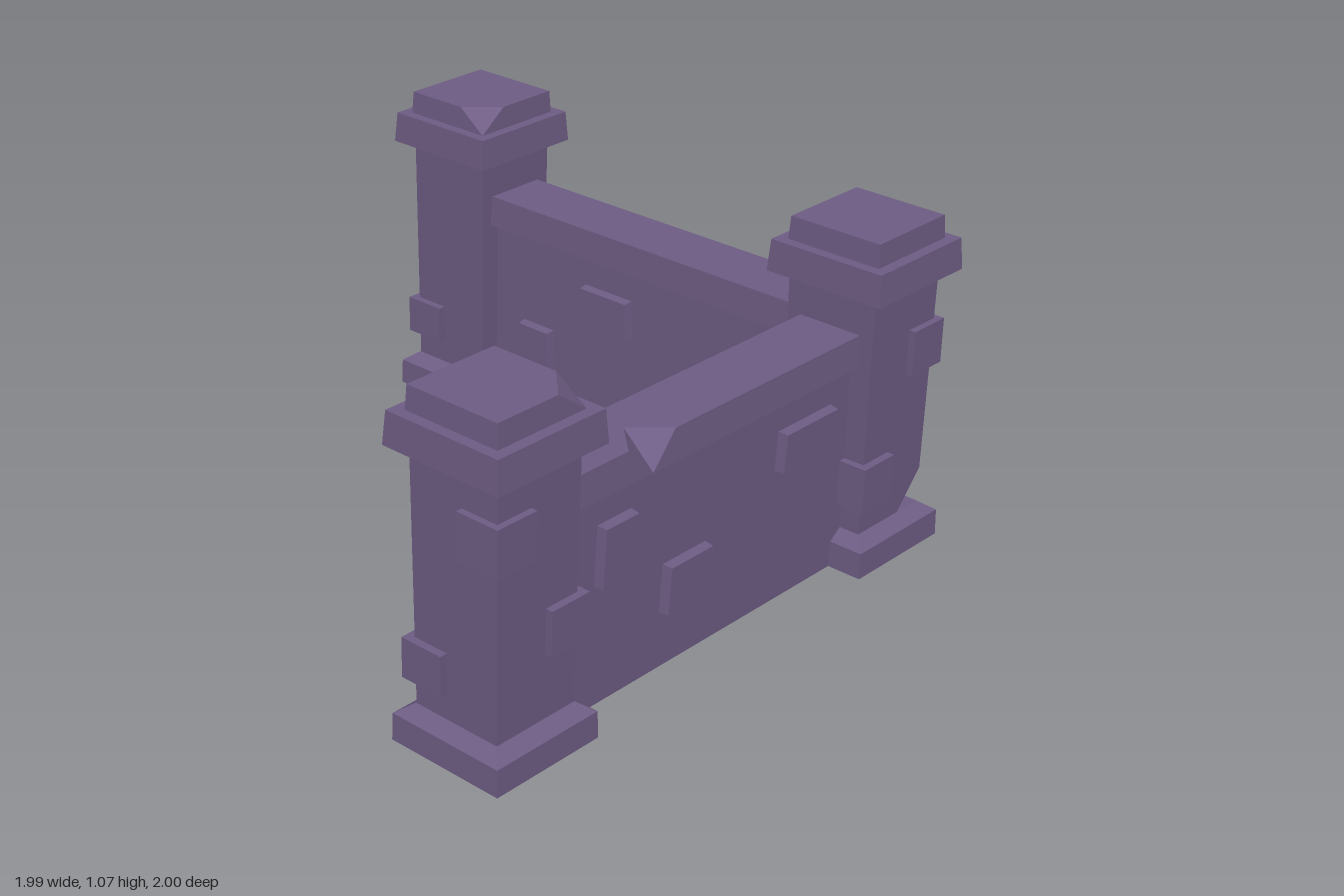
import * as THREE from 'three';
import { ConvexGeometry } from 'three/addons/geometries/ConvexGeometry.js';

const stone = new THREE.MeshStandardMaterial({ color: 0x6f5d85, side: THREE.DoubleSide });
stone.name = 'purple stone';
const CX = 0.79, CZ = 0.793; // distance of pillar and wall centre lines from the middle

// Flat-faced convex block without an underside; faces along "open" are left out too
function hull(name, points, open = []) {
  const skip = [[0, -1, 0], ...open].map((d) => new THREE.Vector3(...d));
  const source = new ConvexGeometry(points.map((p) => new THREE.Vector3(...p)));
  const pos = source.attributes.position, nor = source.attributes.normal;
  const p = [], n = [];
  for (let i = 0; i < pos.count; i += 3) {
    const dir = new THREE.Vector3().fromBufferAttribute(nor, i);
    if (skip.some((d) => dir.dot(d) > 0.99)) continue;
    for (let k = i; k < i + 3; k++) {
      p.push(pos.getX(k), pos.getY(k), pos.getZ(k));
      n.push(dir.x, dir.y, dir.z);
    }
  }
  const geometry = new THREE.BufferGeometry();
  geometry.setAttribute('position', new THREE.Float32BufferAttribute(p, 3));
  geometry.setAttribute('normal', new THREE.Float32BufferAttribute(n, 3));
  const mesh = new THREE.Mesh(geometry, stone);
  mesh.name = name;
  return mesh;
}

const square = (y, h) => [[-h, y, -h], [h, y, -h], [h, y, h], [-h, y, h]];

// Pillar: blocks are [sideX, sideZ, y0, y1], chips are [sideX, sideZ]
function pillar(name, x, z, blocks, capChip, shaftChip) {
  const group = new THREE.Group();
  group.name = name;
  group.position.set(x, 0, z);
  const notCorner = (chip) => (p) => !chip || p[0] * chip[0] < 0 || p[2] * chip[1] < 0;

  group.add(hull('base', [...square(0, 0.198), ...square(0.085, 0.196), ...square(0.117, 0.152)]));

  // Shaft widens slightly upward, with a bottom corner knocked off
  const foot = square(0.117, 0.15).filter(notCorner(shaftChip));
  if (shaftChip) {
    const [sx, sz] = shaftChip;
    foot.push([sx * 0.05, 0.117, sz * 0.15], [sx * 0.15, 0.117, sz * 0.05], [sx * 0.151, 0.235, sz * 0.151]);
  }
  group.add(hull('shaft', [...foot, ...square(0.9, 0.157)]));

  group.add(hull('collar', [...square(0.9, 0.206), ...square(1.0, 0.199)]));

  // Cap with a top corner knocked off
  const top = square(1.073, 0.16).filter(notCorner(capChip));
  if (capChip) {
    const [sx, sz] = capChip;
    top.push([sx * 0.06, 1.073, sz * 0.16], [sx * 0.16, 1.073, sz * 0.06]);
  }
  group.add(hull('cap', [...square(1.0, 0.164), ...top]));

  // Stones wrapping the corners
  for (const [sx, sz, y0, y1] of blocks) {
    const pts = [];
    for (const y of [y0, y1]) for (const a of [0.031, 0.177]) for (const b of [0.031, 0.177]) pts.push([sx * a, y, sz * b]);
    group.add(hull('cornerStone', pts));
  }
  return group;
}

// Raised wall stones: [centre along wall, y0, y1, bottom width, top width]
const tallStone = [-0.412, 0.385, 0.57, 0.158, 0.14];
const midStone = [-0.108, 0.183, 0.335, 0.207, 0.187];
const frontOuter = [tallStone, midStone, [0.425, 0.443, 0.567, 0.265, 0.247]];
const frontInner = [
  [-0.475, 0.165, 0.355, 0.155, 0.135],
  [0.04, 0.43, 0.565, 0.215, 0.2],
  [0.33, 0.165, 0.295, 0.24, 0.225],
];
const sideOuter = [tallStone, midStone, [0.428, 0.336, 0.463, 0.265, 0.247]];
const sideInner = [
  [-0.445, 0.165, 0.355, 0.155, 0.135],
  [-0.14, 0.43, 0.565, 0.215, 0.2],
  [0.32, 0.14, 0.275, 0.24, 0.225],
];

// Wall along x; "swap" exchanges x and z for the other wing
function wall(name, swap, notched, outer, inner) {
  const group = new THREE.Group();
  group.name = name;
  const map = ([u, y, w]) => (swap ? [CX + w, y, u] : [u, y, CZ + w]);
  const add = (part, pts, open) => group.add(hull(part, pts.map(map), open));
  const bar = (u0, u1, y0, y1, h0, h1) =>
    [u0, u1].flatMap((u) => [[u, y0, -h0], [u, y0, h0], [u, y1, -h1], [u, y1, h1]]);
  const body = 0.082, low = 0.116, high = 0.109, y0 = 0.67, y1 = 0.77;

  add('wallBody', bar(-0.66, 0.66, 0, y0, body, body));

  if (notched) {
    // Two coping lengths meeting at a V-shaped notch in the front edge
    const mid = -0.295;
    for (const [end, lip, inward] of [[-0.66, -0.392, 1], [0.66, -0.198, -1]]) {
      add('coping', [
        [end, y0, -low], [end, y0, low], [end, y1, -high], [end, y1, high],
        [mid, y0, -low], [mid, y0, low], [mid, y1, -high], [mid, y1, 0.005], [lip, y1, high],
      ], [[inward, 0, 0]]);
    }
  } else {
    add('coping', bar(-0.66, 0.66, y0, y1, low, high));
  }

  for (const [side, stones] of [[1, outer], [-1, inner]]) {
    for (const [u, b, t, wb, wt] of stones) {
      const pts = [];
      for (const s of [-0.5, 0.5]) {
        for (const [depth, inset] of [[body - 0.005, 0], [body + 0.032, 0.004]]) {
          pts.push([u + s * (wb - 2 * inset), b, side * depth]);
          pts.push([u + s * (wt - 2 * inset), t - inset, side * depth]);
        }
      }
      add('wallStone', pts);
    }
  }
  return group;
}

export function createModel() {
  const model = new THREE.Group();
  model.name = 'cornerWall';
  model.add(
    wall('frontWall', false, true, frontOuter, frontInner),
    wall('sideWall', true, false, sideOuter, sideInner),
    pillar('frontRightPillar', -CX, CZ,
      [[-1, 1, 0.64, 0.785], [1, 1, 0.32, 0.46], [-1, -1, 0.2, 0.325]], [1, 1]),
    pillar('cornerPillar', CX, CZ,
      [[1, 1, 0.595, 0.74], [-1, 1, 0.207, 0.355]], null, [1, 1]),
    pillar('backLeftPillar', CX, -CZ,
      [[1, -1, 0.64, 0.785], [1, 1, 0.32, 0.46], [-1, -1, 0.2, 0.325]], [-1, 1]),
  );
  return model;
}
